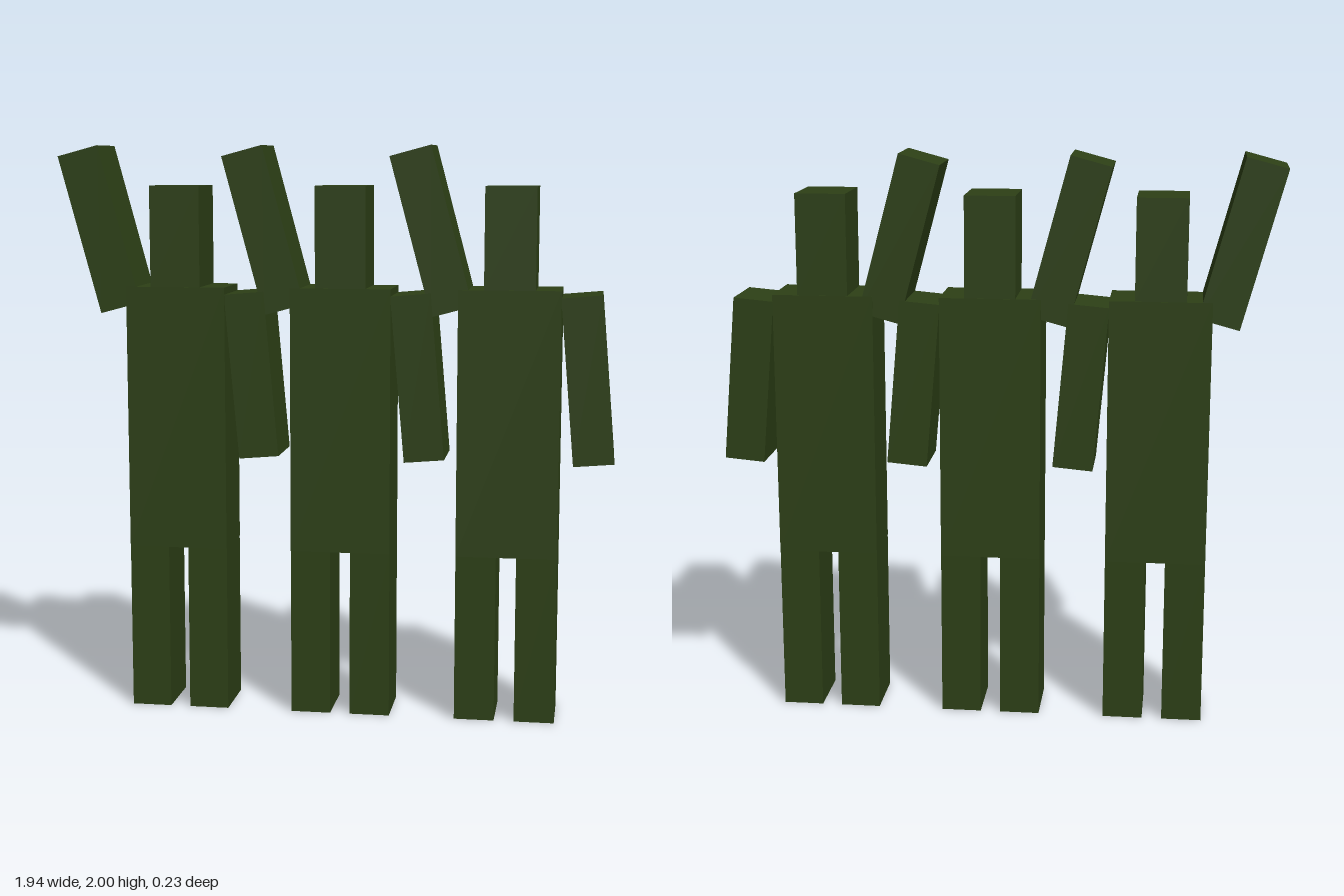
import * as THREE from 'three';

const DEPTH = 0.222;
const material = new THREE.MeshStandardMaterial({ color: 0x2d4016, flatShading: true });

// Box centred at (x, y), tilted by a number of degrees in the front plane
function block(name, w, h, d, x, y, tilt = 0) {
  const mesh = new THREE.Mesh(new THREE.BoxGeometry(w, h, d), material);
  mesh.name = name;
  mesh.position.set(x, y, 0);
  mesh.rotation.z = THREE.MathUtils.degToRad(tilt);
  return mesh;
}

function createFigure() {
  const figure = new THREE.Group();
  figure.add(
    block('torso', 0.35, 0.925, 0.227, 0, 1.0475),
    block('head', 0.175, 0.35, DEPTH, 0, 1.685),
    // One arm waves, the other hangs slightly outwards
    block('raisedRightArm', 0.146, 0.563, DEPTH, -0.269, 1.707, 15),
    block('loweredLeftArm', 0.14, 0.577, DEPTH, 0.268, 1.204, 5)
  );
  for (const [name, side] of [['rightLeg', -1], ['leftLeg', 1]]) {
    figure.add(block(name, 0.14, 0.585, DEPTH, side * 0.105, 0.2925));
  }
  return figure;
}

export function createModel() {
  const model = new THREE.Group();
  model.name = 'wavingFigures';
  // Three identical figures in a row
  for (let i = 0; i < 3; i++) {
    const figure = createFigure();
    figure.name = `figure${i + 1}`;
    figure.position.x = 0.023 + (i - 1) * 0.581;
    model.add(figure);
  }
  return model;
}
